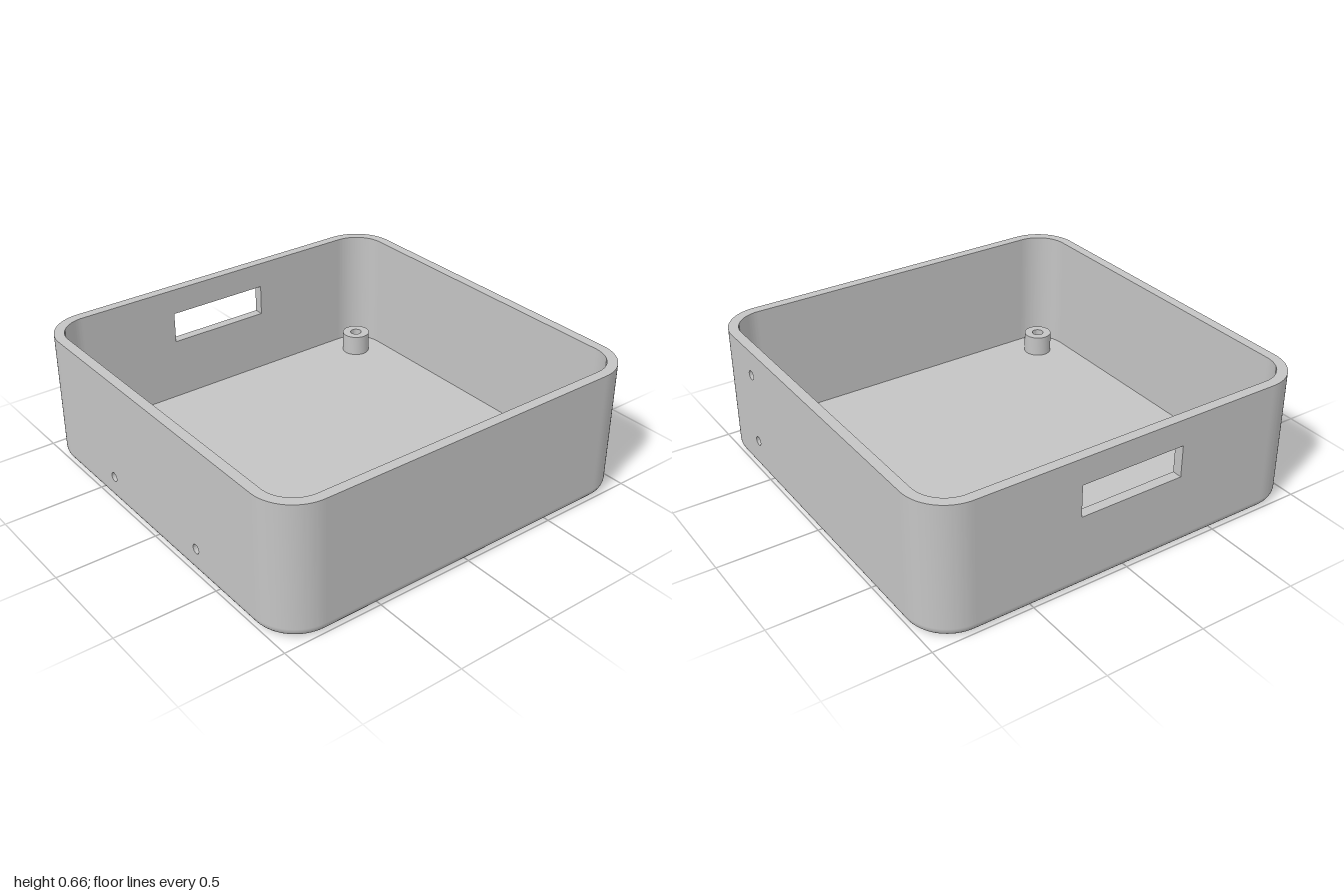
import * as THREE from 'three';
import { toCreasedNormals } from 'three/addons/utils/BufferGeometryUtils.js';

const HEIGHT = 0.663, WALL = 0.05, FLOOR = 0.05;
const CORNER = 0.79;              // centre of the corner arcs
const R_OUT = 0.21, R_IN = 0.16;  // corner radii outside and inside

export function createModel() {
  const model = new THREE.Group();
  model.name = 'openEnclosure';
  const grey = new THREE.MeshStandardMaterial({ color: 0xc4c4c4 });
  grey.name = 'grey plastic';

  const add = (name, geometry, parent = model) => {
    const mesh = new THREE.Mesh(geometry, grey);
    mesh.name = name;
    parent.add(mesh);
    return mesh;
  };
  const extrude = (shape, depth) => toCreasedNormals(
    new THREE.ExtrudeGeometry(shape, { depth, bevelEnabled: false, curveSegments: 20 }), 0.6);
  const upright = (shape, depth, y) => extrude(shape, depth).rotateX(-Math.PI / 2).translate(0, y, 0);

  const rect = (x0, y0, x1, y1) => [[x0, y0], [x1, y0], [x1, y1], [x0, y1]].map(p => new THREE.Vector2(...p));
  const circle = (x, y, r) => new THREE.Path().absarc(x, y, r, 0, Math.PI * 2, true);
  const roundedSquare = () => {
    const s = new THREE.Shape();
    [[1, 1], [-1, 1], [-1, -1], [1, -1]].forEach(([sx, sy], k) =>
      s.absarc(sx * CORNER, sy * CORNER, R_IN, k * Math.PI / 2, (k + 1) * Math.PI / 2, false));
    s.closePath();
    return s;
  };

  // Straight wall made of an outer and an inner layer; blind holes pierce only the outer one
  const addWall = (name, turn, throughHoles = [], blindHoles = []) => {
    const group = new THREE.Group();
    group.name = name;
    group.rotation.y = turn * Math.PI / 2;
    const layer = (label, holes, depth, z) => {
      const s = new THREE.Shape(rect(-CORNER, FLOOR, CORNER, HEIGHT));
      s.holes.push(...holes);
      add(label, extrude(s, depth).translate(0, 0, z), group);
    };
    if (blindHoles.length) {
      layer(name + 'Outer', blindHoles, WALL / 2, 1 - WALL / 2);
      layer(name + 'Inner', [], WALL / 2, 1 - WALL);
    } else {
      layer(name + 'Panel', throughHoles, WALL, 1 - WALL);
    }
    model.add(group);
  };

  addWall('frontWall', 0, [], [circle(-0.353, 0.135, 0.023), circle(0.353, 0.135, 0.023)]);
  addWall('backWall', 2, [], [circle(-0.6, 0.533, 0.023), circle(-0.6, 0.168, 0.023)]);
  addWall('leftWall', 1);
  // Side with the rectangular and the round opening
  addWall('rightWall', -1, [
    new THREE.Path(rect(-0.262, 0.37, 0.277, 0.53)),
    circle(-0.66, 0.315, 0.135),
  ]);

  // Rounded vertical corners
  const arc = new THREE.Shape();
  arc.absarc(0, 0, R_OUT, 0, Math.PI / 2, false);
  arc.absarc(0, 0, R_IN, Math.PI / 2, 0, true);
  arc.closePath();
  const cornerGeometry = upright(arc, HEIGHT - FLOOR, FLOOR).translate(CORNER, 0, -CORNER);
  for (let k = 0; k < 4; k++) add('cornerWall', cornerGeometry).rotation.y = k * Math.PI / 2;

  // Rounded lower edge, swept around the outline
  const pos = [], nor = [], idx = [], ROWS = 8, STEPS = 16, N = 4 * (STEPS + 1);
  for (let j = 0; j <= ROWS; j++) {
    const t = (j / ROWS - 1) * Math.PI / 2;
    const r = R_IN + WALL * Math.cos(t), y = FLOOR + FLOOR * Math.sin(t);
    for (let k = 0; k < 4; k++) for (let i = 0; i <= STEPS; i++) {
      const a = (k + i / STEPS) * Math.PI / 2;
      const cx = k === 0 || k === 3 ? CORNER : -CORNER, cz = k < 2 ? CORNER : -CORNER;
      pos.push(cx + r * Math.cos(a), y, cz + r * Math.sin(a));
      nor.push(Math.cos(a) * Math.cos(t), Math.sin(t), Math.sin(a) * Math.cos(t));
    }
  }
  for (let j = 0; j < ROWS; j++) for (let i = 0; i < N; i++) {
    const p = j * N + i, q = j * N + (i + 1) % N;
    idx.push(p, p + N, q, q, p + N, q + N);
  }
  const edge = new THREE.BufferGeometry();
  edge.setAttribute('position', new THREE.Float32BufferAttribute(pos, 3));
  edge.setAttribute('normal', new THREE.Float32BufferAttribute(nor, 3));
  edge.setIndex(idx);
  add('roundedBottomEdge', edge);

  // Base: lower plate with four foot recesses, solid plate above it
  const RECESS = 0.02;
  const lower = roundedSquare();
  for (const x of [-1, 1]) for (const z of [-1, 1]) lower.holes.push(circle(x * 0.735, z * 0.735, 0.114));
  add('basePlateWithFootRecesses', upright(lower, RECESS, 0));
  add('floorPlate', upright(roundedSquare(), FLOOR - RECESS, RECESS));

  // Screw standoffs
  const ring = new THREE.Shape().absarc(0, 0, 0.072, 0, Math.PI * 2, false);
  ring.holes.push(circle(0, 0, 0.03));
  const standoff = upright(ring, 0.108, FLOOR);
  for (const x of [-1, 1]) for (const z of [-1, 1])
    add('screwStandoff', standoff).position.set(x * 0.793, 0, z * 0.793);

  return model;
}
